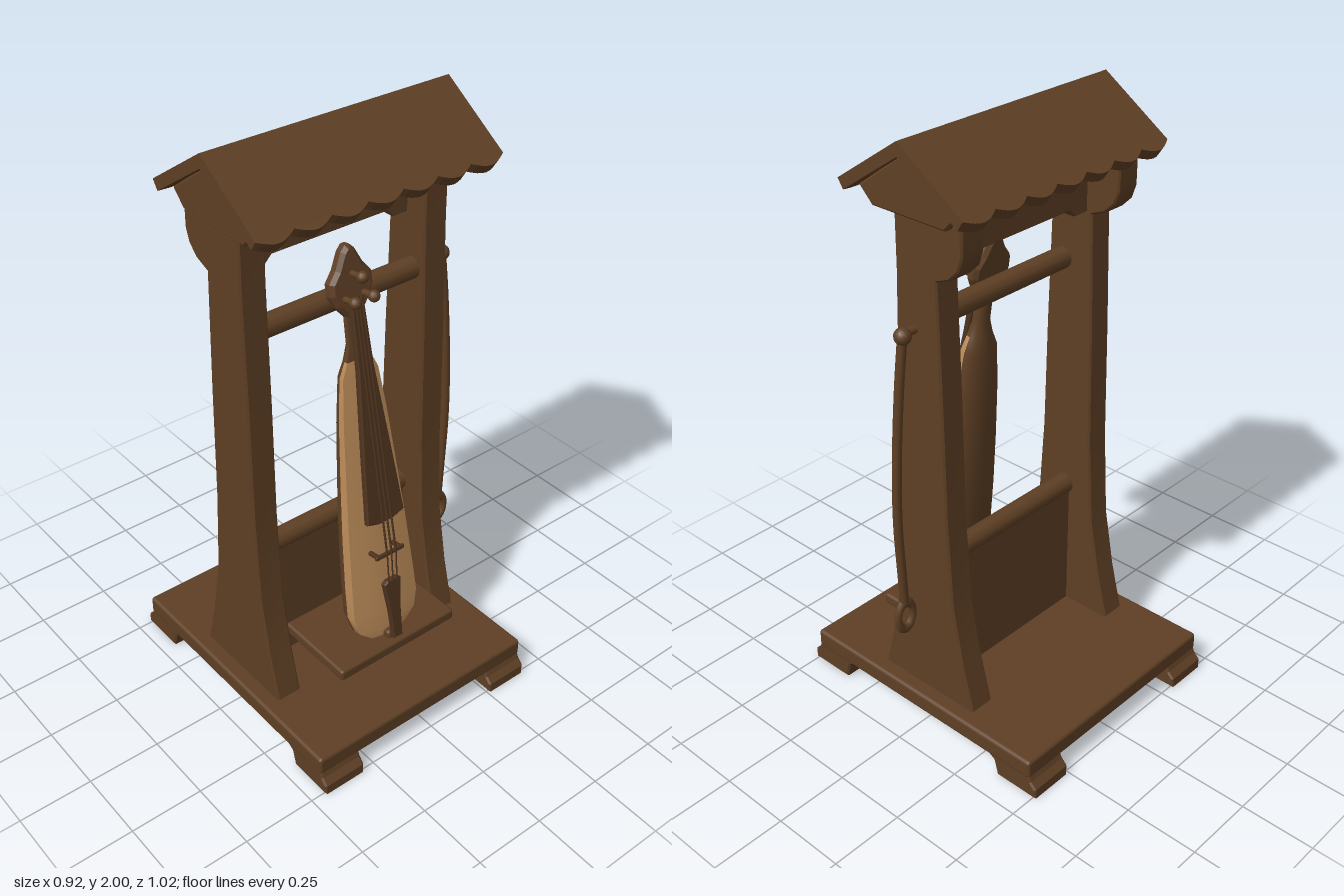
import * as THREE from 'three';
import { RoundedBoxGeometry } from 'three/addons/geometries/RoundedBoxGeometry.js';
import { toCreasedNormals } from 'three/addons/utils/BufferGeometryUtils.js';

const wood = new THREE.MeshStandardMaterial({ color: 0x5e3f24 });
wood.name = 'brown wood';
const darkWood = new THREE.MeshStandardMaterial({ color: 0x4c321d });
darkWood.name = 'dark wood';
const paleWood = new THREE.MeshStandardMaterial({ color: 0xba8a58 });
paleWood.name = 'pale wood';
paleWood.side = wood.side = THREE.DoubleSide;

const CX = -0.02; // middle of the stand
const POST_X = 0.335; // post distance from the middle

function add(parent, name, geometry, material, x = 0, y = 0, z = 0) {
  const mesh = new THREE.Mesh(geometry, material);
  mesh.name = name;
  mesh.position.set(x, y, z);
  parent.add(mesh);
  return mesh;
}

const toShape = (pts) => new THREE.Shape(pts.map((p) => new THREE.Vector2(p[0], p[1])));
const mirrored = (pts) => [...pts, ...pts.map(([x, y]) => [-x, y]).reverse()];
const box = (w, h, d, r = 0.01) => new RoundedBoxGeometry(w, h, d, 2, r);

// Outline in x, y with thickness along z, centred
function plate(pts, depth, bevel = 0.004) {
  const g = new THREE.ExtrudeGeometry(toShape(pts), {
    depth: depth - 2 * bevel, bevelEnabled: bevel > 0, bevelThickness: bevel,
    bevelSize: bevel, bevelOffset: -bevel, bevelSegments: 1,
  });
  return g.translate(0, 0, -depth / 2 + bevel);
}

// Outline in z, y with thickness along x, centred
const sidePlate = (pts, width, bevel = 0.006) => plate(pts, width, bevel).rotateY(-Math.PI / 2);

// Skin over rows of cross-section points; section(row, u) returns x, y, z
function loft(rows, section, n = 16) {
  const pos = [], idx = [];
  rows.forEach((row, i) => {
    for (let j = 0; j <= n; j++) {
      pos.push(...section(row, j / n));
      if (i < rows.length - 1 && j < n) {
        const a = i * (n + 1) + j, c = a + n + 1;
        idx.push(a, a + 1, c, a + 1, c + 1, c);
      }
    }
  });
  const g = new THREE.BufferGeometry();
  g.setAttribute('position', new THREE.Float32BufferAttribute(pos, 3));
  g.setIndex(idx);
  g.computeVertexNormals();
  return g;
}

function rod(parent, name, material, from, to, r) {
  const a = new THREE.Vector3(...from), b = new THREE.Vector3(...to);
  const mesh = add(parent, name, new THREE.CylinderGeometry(r, r, a.distanceTo(b), 12), material);
  mesh.position.copy(a).lerp(b, 0.5);
  mesh.quaternion.setFromUnitVectors(new THREE.Vector3(0, 1, 0), b.sub(a).normalize());
  return mesh;
}

function buildStand() {
  const stand = new THREE.Group();
  stand.name = 'stand';
  stand.position.x = CX;
  add(stand, 'basePlate', box(0.865, 0.065, 0.97, 0.012), wood, 0, 0.0985, 0);

  const foot = [[0.3, 0.08], [0.335, 0.055], [0.35, 0], [0.51, 0], [0.51, 0.035], [0.49, 0.055], [0.48, 0.08]];
  const halfPost = [[0.2, 0.12], [0.155, 0.3], [0.118, 0.5], [0.1, 0.8], [0.092, 1.2], [0.08, 1.6], [0.08, 1.79]];
  // Rounded bracket on the rear of each post top
  const bracket = [[-0.18, 1.79], [-0.18, 1.7], [-0.165, 1.655], [-0.13, 1.62], [-0.08, 1.6]];
  const post = [...halfPost, ...bracket, ...halfPost.slice(0, 5).map(([z, y]) => [-z, y]).reverse()];
  const gable = [[-0.14, 1.775], [0.14, 1.775], [0.19, 1.825], [0, 1.962], [-0.19, 1.825]];

  for (const s of [-1, 1]) {
    add(stand, 'post', toCreasedNormals(sidePlate(post, 0.09), 0.5), wood, s * POST_X);
    add(stand, 'gable', sidePlate(gable, 0.13), wood, s * 0.34);
    for (const end of [0, Math.PI]) {
      add(stand, 'foot', sidePlate(foot, 0.155), wood, s * 0.353).rotation.y = end;
    }
  }

  // Cross rails, lower panel and shelf
  rod(stand, 'upperRail', wood, [-0.3, 1.43, 0.03], [0.3, 1.43, 0.03], 0.036);
  rod(stand, 'lowerRail', wood, [-0.3, 0.605, 0], [0.3, 0.605, 0], 0.036);
  add(stand, 'lowerPanel', box(0.6, 0.47, 0.04, 0.005), wood, 0, 0.355, 0);
  add(stand, 'shelf', box(0.48, 0.04, 0.3), wood, 0.015, 0.246, 0.185);

  // Board under the roof with an arched carved panel
  const board = mirrored([[0.3, 1.84], [0.3, 1.605], [0.235, 1.605], [0.21, 1.63]]);
  add(stand, 'topBoard', plate(board, 0.06), wood, 0, 0, -0.03);
  const carving = mirrored([[0.2, 1.64], [0.2, 1.7], [0.13, 1.712], [0.085, 1.73], [0.06, 1.765], [0.02, 1.787]]);
  add(stand, 'carvedPanel', plate(carving, 0.016), wood, 0.01, 0, 0.006);
  add(stand, 'carvedRosette', new THREE.TorusGeometry(0.03, 0.007, 8, 20), wood, 0.01, 1.715, 0.015);

  // Two roof slopes with scalloped eaves
  const eave = [];
  for (let i = 0; i <= 56; i++) {
    eave.push([-0.435 + 0.87 * i / 56, -0.288 - 0.024 * Math.abs(Math.sin(Math.PI * i / 8))]);
  }
  for (const turn of [0, Math.PI]) {
    const slope = plate([...eave, [0.435, 0], [-0.435, 0]], 0.036, 0);
    slope.translate(0, 0, -0.018).rotateX(-0.982).rotateY(turn);
    add(stand, 'roofSlope', slope, wood, 0, 2, 0);
  }
  return stand;
}

function buildInstrument() {
  const inst = new THREE.Group();
  inst.name = 'stringInstrument';
  inst.position.set(-0.008, 0.268, 0.285);
  inst.rotation.x = -0.168;

  // Body rows: height, half width, depth
  const rows = [[0, 0.02, 0.02], [0.012, 0.07, 0.06], [0.05, 0.115, 0.1], [0.11, 0.131, 0.12], [0.22, 0.126, 0.125],
    [0.4, 0.116, 0.115], [0.6, 0.101, 0.1], [0.8, 0.085, 0.08], [0.95, 0.068, 0.06],
    [1.0, 0.046, 0.045], [1.05, 0.03, 0.036], [1.2, 0.028, 0.034]];
  const RIM = 0.3; // share of the depth that is pale side wall
  const front = ([y, w], u) => [w * (2 * u - 1), y, 0.08 * w * Math.sin(Math.PI * u)];
  const back = ([y, w, d], u) =>
    [w * Math.cos(Math.PI * u), y, -d * (RIM + (1 - RIM) * Math.sin(Math.PI * u))];
  const pale = rows.slice(0, 10), neck = rows.slice(9);
  add(inst, 'soundboard', loft(pale, front), paleWood);
  add(inst, 'bodyBack', loft(rows, back), wood);
  add(inst, 'neckFront', loft(neck, front), wood);
  for (const s of [-1, 1]) {
    const wall = ([y, w, d], u) => [s * w, y, -d * RIM * (s > 0 ? u : 1 - u)];
    add(inst, 'bodySide', loft(pale, wall, 1), paleWood);
    add(inst, 'neckSide', loft(neck, wall, 1), wood);
  }
  add(inst, 'bodyEnd', box(0.05, 0.03, 0.04), wood, 0, 0.012, 0.01);

  // Head with pegs
  const head = mirrored([[0.026, 1.14], [0.06, 1.18], [0.079, 1.22], [0.078, 1.26], [0.05, 1.295], [0.025, 1.345], [0.008, 1.362]]);
  add(inst, 'head', plate(head, 0.045, 0.012), wood, 0, 0, -0.012);
  for (const [x, y] of [[-0.035, 1.205], [0.035, 1.205], [0, 1.275]]) {
    rod(inst, 'peg', wood, [x, y, 0], [x, y, 0.06], 0.01);
    add(inst, 'pegKnob', new THREE.SphereGeometry(0.019, 12, 8), wood, x, y, 0.058);
  }

  // Raised fingerboard, tailpiece and bridge
  const board = mirrored([[0.03, 0.452], [0.074, 0.465], [0.055, 0.7], [0.03, 0.98], [0.024, 1.2]]);
  const finger = add(inst, 'fingerboard', plate(board, 0.022).translate(0, -0.45, 0), darkWood, 0, 0.45, 0.042);
  finger.rotation.x = -0.038;
  const tail = mirrored([[0.018, 0], [0.022, 0.1], [0.035, 0.215], [0.02, 0.225]]);
  add(inst, 'tailpiece', plate(tail, 0.022), darkWood, 0, 0.01, 0.042);
  add(inst, 'bridgeTop', box(0.115, 0.014, 0.012, 0.004), darkWood, 0, 0.335, 0.05);
  for (const s of [-1, 1]) {
    add(inst, 'bridgeLeg', box(0.014, 0.014, 0.05, 0.004), darkWood, s * 0.045, 0.335, 0.026);
  }
  for (const k of [-1, 0, 1]) {
    rod(inst, 'lowerString', darkWood, [k * 0.016, 0.2, 0.05], [k * 0.018, 0.335, 0.06], 0.0025);
    rod(inst, 'upperString', darkWood, [k * 0.018, 0.335, 0.06], [k * 0.012, 1.21, 0.03], 0.0035);
  }
  return inst;
}

function buildBow() {
  const bow = new THREE.Group();
  bow.name = 'bow';
  rod(bow, 'hangingPeg', wood, [0.35, 1.43, 0.01], [0.42, 1.43, 0.01], 0.013);
  add(bow, 'bowTip', new THREE.SphereGeometry(0.027, 14, 10), wood, 0.408, 1.425, 0.01);
  const path = new THREE.CatmullRomCurve3([[0.41, 1.42, 0.01], [0.427, 1.25, 0.014], [0.442, 1.0, 0.02],
    [0.443, 0.8, 0.025], [0.43, 0.6, 0.03], [0.42, 0.49, 0.035]].map((p) => new THREE.Vector3(...p)));
  add(bow, 'bowStick', new THREE.TubeGeometry(path, 24, 0.015, 10), wood);
  const ring = add(bow, 'bowHandle', new THREE.TorusGeometry(0.032, 0.012, 10, 24), wood, 0.416, 0.432, 0.037);
  ring.scale.y = 1.55;
  return bow;
}

export function createModel() {
  const model = new THREE.Group();
  model.name = 'instrumentStand';
  model.add(buildStand(), buildInstrument(), buildBow());
  return model;
}
